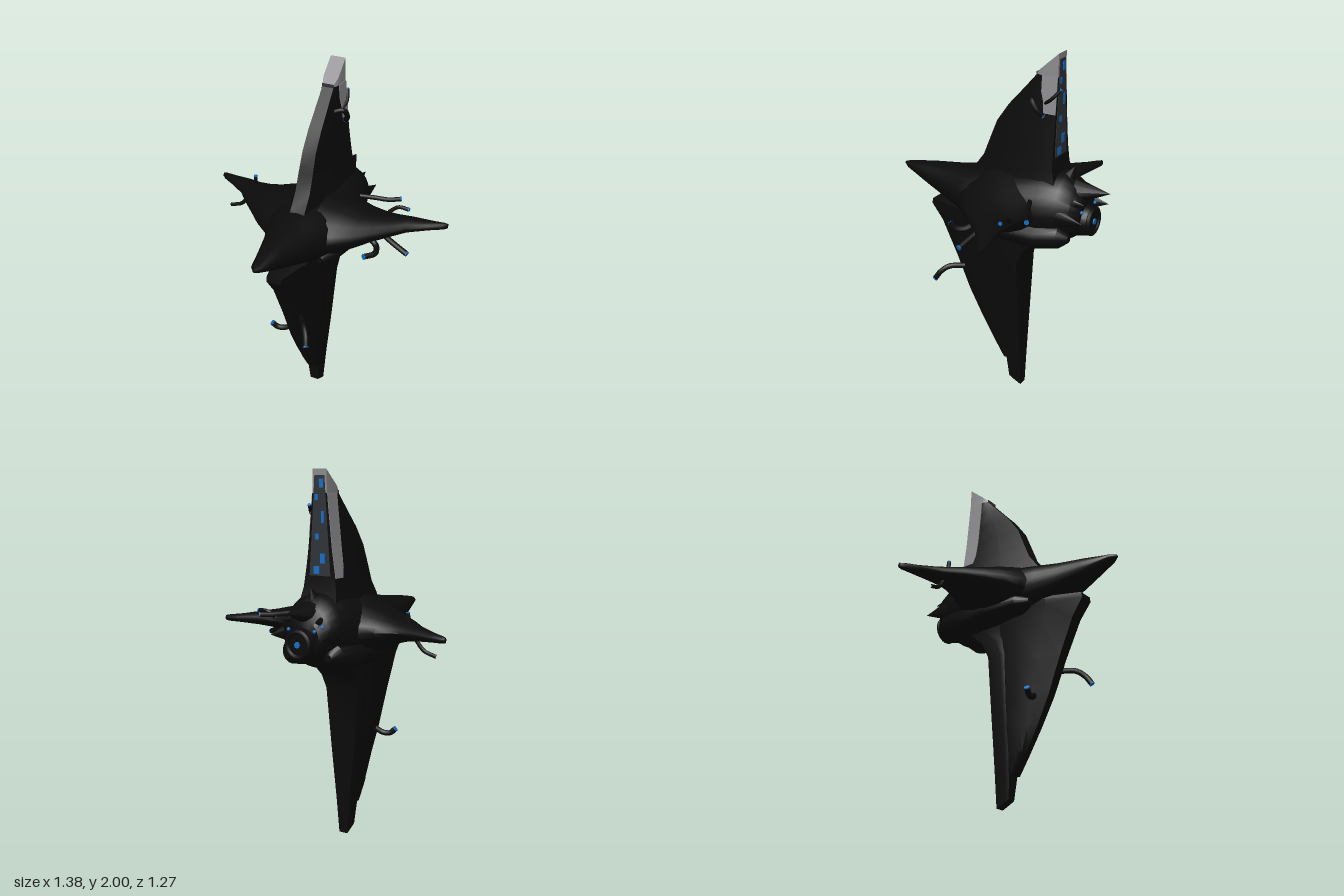
import * as THREE from 'three';
import { toCreasedNormals } from 'three/addons/utils/BufferGeometryUtils.js';

const paint = (name, color) => {
  const m = new THREE.MeshStandardMaterial({ color });
  m.name = name;
  return m;
};
const V = (x, y, z) => new THREE.Vector3(x, y, z);
const lerp = THREE.MathUtils.lerp;

// Skin a list of equal-length closed rings, with caps, facing outwards
function loft(rings, crease = 0.6) {
  const n = rings[0].length, pts = rings.flat(), tri = [];
  for (let i = 0; i < rings.length - 1; i++)
    for (let j = 0; j < n; j++) {
      const a = i * n + j, b = i * n + (j + 1) % n;
      tri.push([a, b, b + n], [a, b + n, a + n]);
    }
  for (const [ring, last] of [[0, false], [rings.length - 1, true]]) {
    const centre = V(0, 0, 0);
    rings[ring].forEach(p => centre.addScaledVector(p, 1 / n));
    const c = pts.push(centre) - 1;
    for (let j = 0; j < n; j++) {
      const a = ring * n + j, b = ring * n + (j + 1) % n;
      tri.push(last ? [a, b, c] : [b, a, c]);
    }
  }
  // Signed volume tells whether the winding must be reversed
  const mid = pts[0], cross = V(0, 0, 0);
  let volume = 0;
  for (const [a, b, c] of tri) {
    const p = pts[a].clone().sub(mid), q = pts[b].clone().sub(mid), r = pts[c].clone().sub(mid);
    volume += p.dot(cross.crossVectors(q, r));
  }
  const g = new THREE.BufferGeometry().setFromPoints(pts);
  g.setIndex(tri.flatMap(([a, b, c]) => volume < 0 ? [a, c, b] : [a, b, c]));
  return toCreasedNormals(g, crease);
}

// Ring across z: rounded body section with separate top and bottom heights
function bodyRing([z, w, top, bottom], cx = 0, n = 24) {
  const cy = (top + bottom) / 2, h = (top - bottom) / 2;
  return Array.from({ length: n }, (_, i) => {
    const a = i / n * Math.PI * 2;
    return V(cx + w * Math.cos(a), cy + h * Math.sin(a), z);
  });
}

// Ring across x: lens-shaped wing section
function wingRing([x, lead, trail, top, bottom], side) {
  const n = 16;
  return Array.from({ length: n }, (_, i) => {
    const a = i / n * Math.PI * 2, s = Math.sin(a);
    return V(side * x, (top + bottom) / 2 + (top - bottom) / 2 * Math.sign(s) * Math.abs(s) ** 1.25,
      (lead + trail) / 2 + (lead - trail) / 2 * Math.cos(a));
  });
}

// Ring across y: fin section, narrow in front with a flat-backed spar behind
function finRing([y, front, rear, w], blunt = 0.25, slope = () => 0) {
  const spar = lerp(rear, front, Math.min(0.72, 0.09 / (front - rear)));
  const half = [[blunt * w, front], [lerp(blunt, 1, 0.65) * w, lerp(front, spar, 0.5)], [w, spar], [w, rear]];
  const all = [...half, ...half.map(([x, z]) => [-x, z]).reverse()];
  return all.map(([x, z]) => V(x, y + slope(z), z));
}

export function createModel() {
  const root = new THREE.Group();
  const black = paint('hull black', 0x0b0b0b);
  const grey = paint('tip grey', 0x8c8c8e);
  const slate = paint('slate panel', 0x303338);
  const blue = paint('glow blue', 0x1470c8);
  const add = (name, geometry, material = black) => {
    const m = new THREE.Mesh(geometry, material);
    m.name = name;
    root.add(m);
    return m;
  };
  const spike = (name, w, h, from, to) => {
    const dir = to.clone().sub(from);
    const m = add(name, new THREE.ConeGeometry(1, dir.length(), 10));
    m.scale.set(w, 1, h);
    m.quaternion.setFromUnitVectors(V(0, 1, 0), dir.clone().normalize());
    m.position.copy(from).addScaledVector(dir, 0.5);
  };

  // Hull from pointed nose to stern
  add('hull', loft([
    [0.635, 0.008, 1.243, 1.228], [0.6, 0.035, 1.252, 1.21], [0.45, 0.078, 1.275, 1.14],
    [0.3, 0.125, 1.29, 1.08], [0.2, 0.165, 1.305, 1.04], [0.1, 0.2, 1.32, 1.01],
    [-0.1, 0.21, 1.34, 0.98], [-0.3, 0.2, 1.38, 0.97], [-0.4, 0.175, 1.37, 0.99],
    [-0.47, 0.15, 1.32, 1.04], [-0.51, 0.1, 1.26, 1.06],
  ].map(s => bodyRing(s))));

  const wing = [
    [0.08, 0.22, -0.33, 1.34, 0.99], [0.2, 0.16, -0.3, 1.3, 1.04], [0.28, 0.1, -0.27, 1.27, 1.08],
    [0.35, 0.03, -0.255, 1.25, 1.11], [0.42, -0.04, -0.253, 1.235, 1.13], [0.5, -0.13, -0.265, 1.222, 1.145],
    [0.6, -0.2, -0.28, 1.205, 1.155], [0.67, -0.245, -0.29, 1.197, 1.16], [0.69, -0.265, -0.285, 1.193, 1.165],
  ];
  const pod = [
    [0.16, 0.02, 1.08, 1.04], [0.1, 0.07, 1.11, 1.01], [-0.1, 0.1, 1.13, 0.985],
    [-0.3, 0.09, 1.13, 0.975], [-0.42, 0.06, 1.13, 1.0], [-0.47, 0.02, 1.08, 1.04],
  ];
  for (const side of [1, -1]) {
    add('wing', loft(wing.map(s => wingRing(s, side)), 0.9));
    add('bellyPod', loft(pod.map(s => bodyRing(s, side * 0.13, 16))));
    // Stern claws
    spike('outerSternClaw', 0.05, 0.09, V(side * 0.13, 1.17, -0.33), V(side * 0.16, 1.17, -0.56));
    spike('innerSternClaw', 0.05, 0.07, V(side * 0.08, 1.24, -0.36), V(side * 0.1, 1.25, -0.54));
  }
  spike('tailSpike', 0.11, 0.09, V(0, 1.27, -0.37), V(0, 1.3, -0.635));
  spike('sternCrest', 0.08, 0.09, V(0, 1.26, -0.36), V(0, 1.41, -0.43));

  // Upper fin with grey tip
  const fin = [
    [1.25, 0.18, -0.39, 0.14], [1.32, 0.15, -0.37, 0.115], [1.4, 0.09, -0.35, 0.1],
    [1.5, 0.05, -0.345, 0.086], [1.6, 0.01, -0.345, 0.072], [1.7, -0.06, -0.345, 0.062],
    [1.8, -0.15, -0.345, 0.052], [1.88, -0.22, -0.345, 0.045],
  ];
  add('upperFin', loft(fin.map((s, i) => finRing(s, lerp(0.3, 0.7, i / 7)))));
  const slant = z => (-0.22 - z) / 0.125 * 0.11;
  add('finTip', loft([
    finRing([1.88, -0.22, -0.345, 0.045], 0.7), finRing([1.89, -0.22, -0.345, 0.042], 0.7, slant),
  ], 0.4), grey);
  add('tipBand', new THREE.BoxGeometry(0.066, 0.022, 0.006), slate).position.set(0, 1.881, -0.219);

  // Thin plates that follow the fin spar
  const width = y => {
    const i = Math.max(0, fin.findIndex(s => s[0] >= y) - 1), [a, b] = [fin[i], fin[i + 1]];
    return lerp(a[3], b[3], (y - a[0]) / (b[0] - a[0]));
  };
  const finPlate = (side, stations) => add('finSidePlate', loft(stations.map(([y, front]) => {
    const a = side * (width(y) - 0.004), b = side * (width(y) + 0.003);
    return [V(a, y, front), V(b, y, front), V(b, y, -0.344), V(a, y, -0.344)];
  }), 0.3), grey);
  finPlate(1, [[1.69, -0.275], [1.75, -0.27], [1.8, -0.256], [1.88, -0.256]]);
  finPlate(-1, [[1.45, -0.275], [1.5, -0.26], [1.6, -0.256], [1.7, -0.256], [1.8, -0.256], [1.88, -0.256]]);
  const backStrip = (name, y0, y1, k, depth, mat) => add(name, loft([y0, y1].map(y => {
    const w = k * (y > 1.88 ? 0.042 : width(y));
    return [V(-w, y, -0.34), V(w, y, -0.34), V(w, y, -depth), V(-w, y, -depth)];
  }), 0.3), mat);
  backStrip('finBackPanel', 1.46, 1.97, 0.7, 0.348, slate);
  [[-0.012, 1.93, 0.025, 0.045], [0.018, 1.86, 0.018, 0.03], [-0.02, 1.76, 0.016, 0.06],
    [0.015, 1.66, 0.02, 0.03], [-0.018, 1.55, 0.03, 0.05], [0.02, 1.49, 0.035, 0.04]].forEach(([x, y, w, h]) =>
    add('finLight', new THREE.BoxGeometry(w, h, 0.006), blue).position.set(x, y, -0.348));

  // Lower fin: swept keel blade and a longer rear spar
  add('keelBlade', loft([
    [1.1, 0.24, -0.06, 0.13], [1.07, 0.43, -0.06, 0.12], [1.04, 0.435, -0.06, 0.115], [0.95, 0.37, -0.06, 0.105],
    [0.75, 0.28, -0.06, 0.09], [0.55, 0.2, -0.06, 0.074], [0.4, 0.125, -0.06, 0.06],
    [0.27, 0.05, -0.06, 0.046], [0.165, -0.02, -0.06, 0.036],
  ].map(s => finRing(s, 0.35))));
  const foot = z => (z + 0.06) * 0.5;
  add('keelSpar', loft([
    finRing([1.02, -0.03, -0.3, 0.12], 0.9), finRing([0.96, -0.03, -0.24, 0.113], 0.9),
    finRing([0.9, -0.03, -0.18, 0.108], 0.9), finRing([0.82, -0.03, -0.145, 0.102], 0.9),
    finRing([0.5, -0.035, -0.14, 0.074], 0.9), finRing([0.2, -0.045, -0.138, 0.043], 0.9),
    finRing([0.038, -0.06, -0.136, 0.026], 0.9, foot),
  ]));

  // Stern engine
  const along = (r0, r1, len) => new THREE.CylinderGeometry(r0, r1, len, 24).rotateX(-Math.PI / 2);
  add('engineHousing', along(0.075, 0.11, 0.16)).position.set(0, 1.13, -0.47);
  add('engineRim', new THREE.TorusGeometry(0.066, 0.014, 10, 24)).position.set(0, 1.13, -0.545);
  add('engineGlow', along(0.016, 0.016, 0.01), blue).position.set(0, 1.13, -0.552);
  [[0.08, 1.2, -0.515], [-0.08, 1.2, -0.515], [-0.11, 1.22, -0.49]].forEach(p =>
    add('sternLight', new THREE.SphereGeometry(0.01, 8, 6), blue).position.set(...p));

  // Loose cables with glowing cut ends
  const cable = (points, r = 0.013) => {
    const path = new THREE.CatmullRomCurve3(points.map(p => V(...p)));
    add('cable', new THREE.TubeGeometry(path, 20, r, 8));
    const end = add('cableEnd', new THREE.CylinderGeometry(r, r, 0.008, 8), blue);
    end.position.copy(path.getPoint(1));
    end.quaternion.setFromUnitVectors(V(0, 1, 0), path.getTangent(1));
  };
  cable([[0.36, 1.15, -0.12], [0.43, 1.125, -0.09], [0.54, 1.085, -0.06]], 0.015);
  cable([[0.36, 1.2, -0.25], [0.41, 1.235, -0.262], [0.47, 1.235, -0.26]], 0.011);
  cable([[0.16, 1.25, -0.26], [0.25, 1.24, -0.295], [0.33, 1.23, -0.325], [0.385, 1.23, -0.36]]);
  cable([[0.35, 1.14, -0.03], [0.385, 1.12, -0.01], [0.4, 1.11, 0.045], [0.36, 1.11, 0.1]], 0.016);
  cable([[-0.58, 1.065, -0.155], [-0.51, 1.09, -0.158], [-0.47, 1.14, -0.165], [-0.43, 1.21, -0.17], [-0.42, 1.28, -0.17]], 0.011);
  cable([[0.05, 0.7, 0.22], [0.1, 0.7, 0.29], [0.13, 0.67, 0.33], [0.145, 0.625, 0.36]], 0.016);
  cable([[-0.04, 0.56, 0.12], [-0.09, 0.53, 0.14], [-0.13, 0.53, 0.15], [-0.16, 0.555, 0.16]], 0.016);
  cable([[0.04, 1.75, -0.2], [0.09, 1.76, -0.22], [0.1, 1.72, -0.25], [0.08, 1.68, -0.28]], 0.014);
  cable([[0.055, 1.74, -0.28], [0.066, 1.77, -0.32], [0.05, 1.82, -0.365]], 0.009);
  return root;
}
